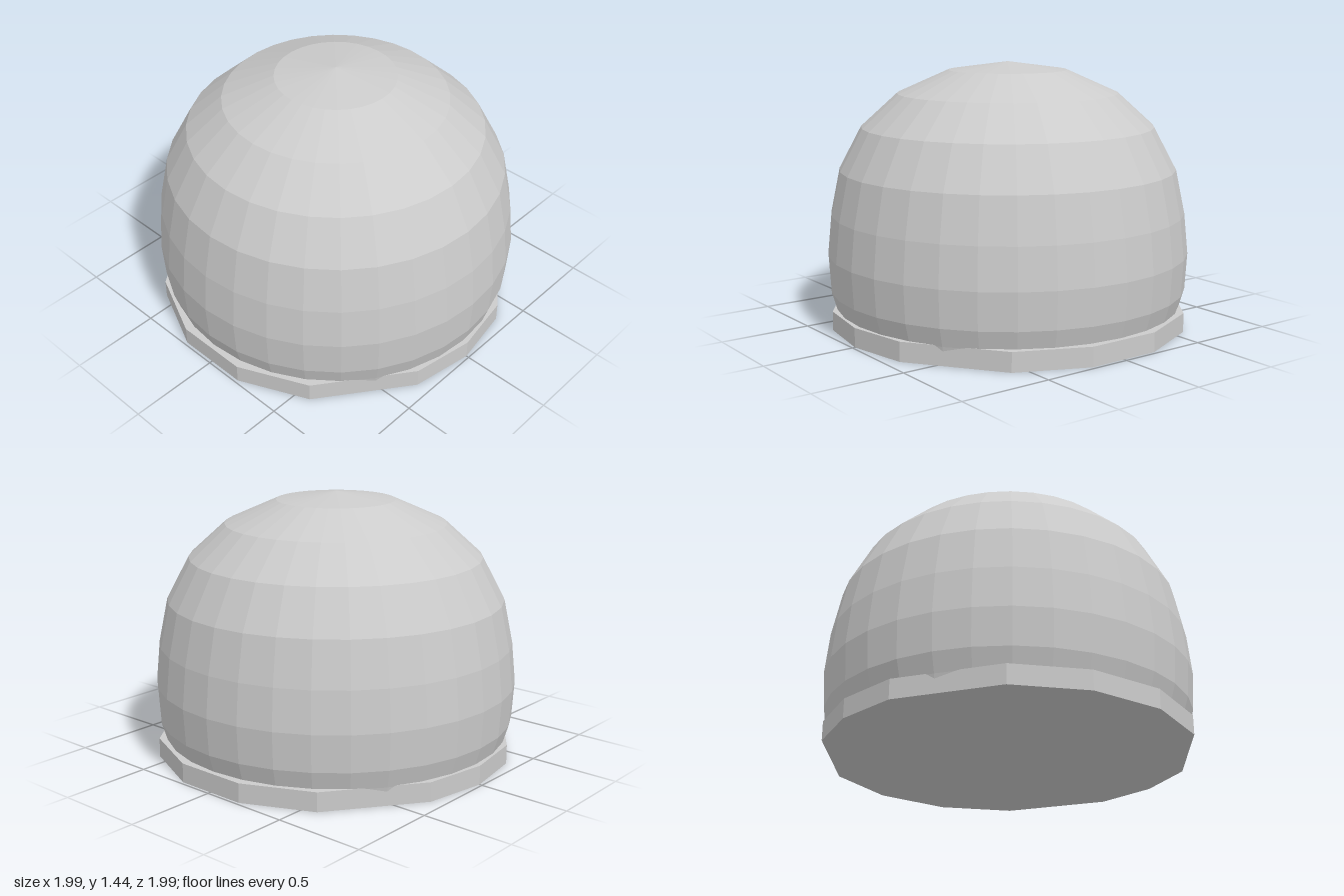
import * as THREE from 'three';

export function createModel() {
  const model = new THREE.Group();
  const material = new THREE.MeshStandardMaterial({
    color: 0xcccccc, flatShading: true, side: THREE.DoubleSide,
  });

  // Faceted dome, bulging slightly above its foot
  const profile = [
    [0.94, 0.03], [0.955, 0.1], [0.985, 0.2], [0.997, 0.4], [0.975, 0.62],
    [0.925, 0.86], [0.803, 1.09], [0.605, 1.27], [0.325, 1.395], [0, 1.44],
  ].map(([r, y]) => new THREE.Vector2(r, y));
  const dome = new THREE.Mesh(new THREE.LatheGeometry(profile, 32), material);
  dome.name = 'dome';
  model.add(dome);

  // Flat base plate with uneven sides, the same on opposite halves
  const halfAngles = [0, 20, 54, 78, 102, 126, 160];
  const corners = [...halfAngles, ...halfAngles.map((a) => a + 180)].map((a) => {
    const t = THREE.MathUtils.degToRad(a);
    return new THREE.Vector2(0.985 * Math.cos(t), 1.005 * Math.sin(t));
  });
  const plate = new THREE.ExtrudeGeometry(new THREE.Shape(corners), {
    depth: 0.105, bevelEnabled: false,
  });
  plate.rotateX(-Math.PI / 2);
  plate.scale(1, 1, -1); // mirror so that shape y becomes +z
  // Restore the outward winding after mirroring
  const p = plate.attributes.position;
  const a = new THREE.Vector3(), b = new THREE.Vector3();
  for (let i = 0; i < p.count; i += 3) {
    a.fromBufferAttribute(p, i);
    b.fromBufferAttribute(p, i + 1);
    p.setXYZ(i, b.x, b.y, b.z);
    p.setXYZ(i + 1, a.x, a.y, a.z);
  }
  plate.computeVertexNormals();
  const base = new THREE.Mesh(plate, material);
  base.name = 'basePlate';
  model.add(base);

  return model;
}
